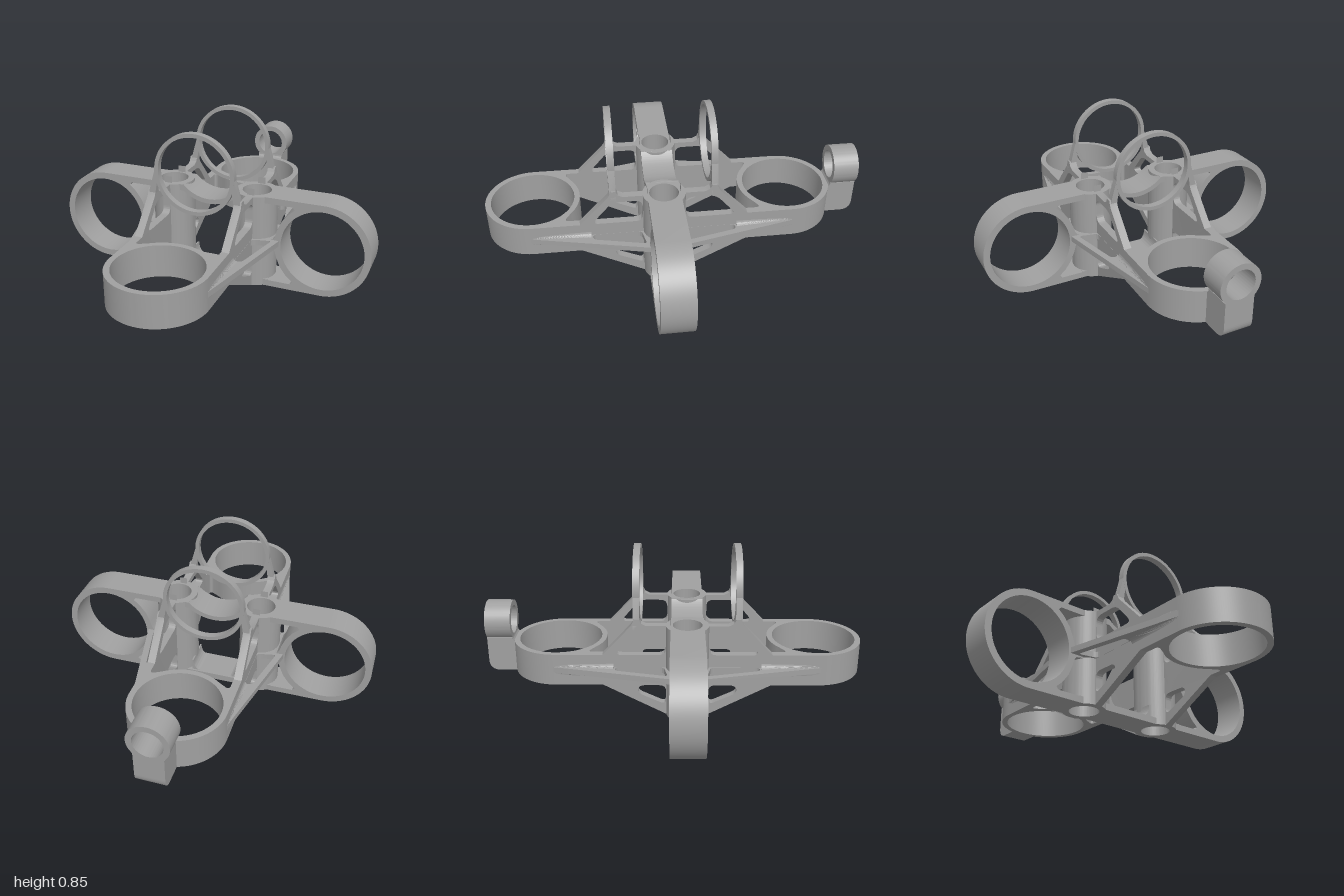
import * as THREE from 'three';
import { toCreasedNormals } from 'three/addons/utils/BufferGeometryUtils.js';

const metal = new THREE.MeshStandardMaterial({ color: 0xa0a0a0 });
metal.name = 'plain grey';

const PI = Math.PI;
const pts = (list) => list.map(([x, y]) => new THREE.Vector2(x, y));

// polygon with every corner rounded off
function rounded(list, r, Type = THREE.Path) {
  const p = pts(list), path = new Type(), n = p.length;
  for (let i = 0; i < n; i++) {
    const a = p[(i + n - 1) % n], b = p[i], c = p[(i + 1) % n];
    const toward = (q) => {
      const d = q.clone().sub(b);
      return d.multiplyScalar(Math.min(r, d.length() * 0.48) / d.length()).add(b);
    };
    const s = toward(a), e = toward(c);
    if (i === 0) path.moveTo(s.x, s.y); else path.lineTo(s.x, s.y);
    path.quadraticCurveTo(b.x, b.y, e.x, e.y);
  }
  path.closePath();
  return path;
}

const circle = (x, y, r, Type = THREE.Path) => new Type().absarc(x, y, r, 0, PI * 2, false);

function ringShape(x, y, outer, inner) {
  const s = circle(x, y, outer, THREE.Shape);
  s.holes.push(circle(x, y, inner));
  return s;
}

const extrude = (shape, depth) =>
  new THREE.ExtrudeGeometry(shape, { depth, bevelEnabled: false, curveSegments: 40 });

// standing: shape in (x, y), centred on z
const standing = (shape, d, z = 0) => extrude(shape, d).translate(0, 0, z - d / 2);
// lying: shape in (x, -z), from y0 upward
const lying = (shape, d, y0) => extrude(shape, d).rotateX(-PI / 2).translate(0, y0, 0);
// sideways: shape in (z, y), centred on x
const sideways = (shape, d, x = 0) => extrude(shape, d).rotateY(-PI / 2).translate(x + d / 2, 0, 0);

export function createModel() {
  const root = new THREE.Group();
  root.name = 'ringBracket';
  const body = new THREE.Group();
  body.name = 'body';
  body.position.z = 0.065;
  root.add(body);

  const add = (name, geometry, turn = 0) => {
    const m = new THREE.Mesh(toCreasedNormals(geometry, 0.5), metal);
    m.name = name;
    m.rotation.y = turn;
    body.add(m);
    return m;
  };

  // Side rings with their top and bottom bars and the thin middle web
  const sideFrame = new THREE.Shape();
  sideFrame.moveTo(0.312, 0);
  sideFrame.lineTo(0.61, 0);
  sideFrame.absarc(0.61, 0.25, 0.25, -PI / 2, PI / 2, false);
  sideFrame.lineTo(0.312, 0.5);
  const gap = [[0.312, 0.467], [0.45, 0.467], [0.462, 0.452], [0.427, 0.421], [0.395, 0.377],
    [0.373, 0.325], [0.363, 0.29], [0.35, 0.272], [0.312, 0.266]];
  gap.forEach(([x, y]) => sideFrame.lineTo(x, y));
  [...gap].reverse().forEach(([x, y]) => sideFrame.lineTo(x, 0.5 - y));
  sideFrame.closePath();
  sideFrame.holes.push(circle(0.61, 0.25, 0.215));
  for (const turn of [0, PI]) add('sideRing', standing(sideFrame, 0.17), turn);

  // Bottom bar, bored for the two tubes
  const barOutline = (x0, x1) => new THREE.Shape(
    pts([[x0, -0.085], [x1, -0.085], [x1, 0.085], [x0, 0.085]]));
  const bottomBar = barOutline(-0.33, 0.33);
  bottomBar.holes.push(circle(-0.235, 0, 0.075), circle(0.235, 0, 0.075));
  add('bottomBar', lying(bottomBar, 0.035, 0));

  // Upright tubes with bored caps under the top bar
  const cap = barOutline(0.142, 0.33);
  cap.holes.push(circle(0.235, 0, 0.075));
  for (const turn of [0, PI]) {
    add('uprightTube', lying(ringShape(0.235, 0, 0.11, 0.075), 0.5, 0), turn);
    add('topCap', lying(cap, 0.033, 0.467), turn);
    // fillets between tube foot and bottom bar
    const foot = new THREE.Shape();
    foot.moveTo(0.135, 0.03);
    foot.lineTo(0.07, 0.03);
    foot.quadraticCurveTo(0.127, 0.035, 0.127, 0.1);
    foot.lineTo(0.135, 0.1);
    foot.closePath();
    add('footFillet', standing(foot, 0.15), turn);
  }

  // Curved saddle dipping between the tubes
  const saddle = new THREE.Shape();
  saddle.moveTo(0.155, 0.5);
  saddle.lineTo(0.143, 0.5);
  saddle.absarc(0, 0.64, 0.2, -0.775, -PI + 0.775, true);
  saddle.lineTo(-0.155, 0.5);
  saddle.lineTo(-0.155, 0.467);
  saddle.absarc(0, 0.64, 0.225, -PI + 0.87, -0.87, false);
  saddle.lineTo(0.155, 0.467);
  saddle.closePath();
  add('saddle', standing(saddle, 0.17));

  // Long lying frame: front and back rings joined by straight side bars
  const lyingFrame = new THREE.Shape();
  lyingFrame.moveTo(0.25, -0.68);
  lyingFrame.lineTo(0.25, 0.68);
  lyingFrame.absarc(0, 0.68, 0.25, 0, PI, false);
  lyingFrame.lineTo(-0.25, -0.68);
  lyingFrame.absarc(0, -0.68, 0.25, PI, PI * 2, false);
  const middle = [];
  for (const s of [1, -1]) {
    middle.push([s * 0.21, s * 0.515]);
    for (const a of [1.0, 0.75, 0.5, 0.25, 0, -0.25, -0.5, -0.75, -1.0].map((k) => k * 0.68))
      middle.push([s * 0.25 * Math.sin(a), s * (0.68 - 0.25 * Math.cos(a))]);
    middle.push([s * -0.21, s * 0.515]);
  }
  lyingFrame.holes.push(circle(0, 0.68, 0.22), circle(0, -0.68, 0.22), rounded(middle, 0.03));
  add('lyingRings', lying(lyingFrame, 0.17, 0.17));

  // Upright truss plates along both side bars
  const truss = new THREE.Shape(pts([
    [-0.11, 0], [0.11, 0], [0.435, 0.17], [0.435, 0.34], [0.285, 0.5], [0.27, 0.535], [0.245, 0.535],
    [0.235, 0.513], [0.21, 0.5], [-0.21, 0.5], [-0.235, 0.513], [-0.245, 0.535], [-0.27, 0.535],
    [-0.285, 0.5], [-0.435, 0.34], [-0.435, 0.17]]));
  for (const s of [1, -1]) {
    truss.holes.push(
      rounded([[s * 0.11, 0.34], [s * 0.375, 0.34], [s * 0.265, 0.47], [s * 0.11, 0.47]], 0.04),
      rounded([[s * 0.11, 0.055], [s * 0.26, 0.125], [s * 0.25, 0.168], [s * 0.11, 0.168]], 0.035));
  }
  // keep the tube bores clear by splitting each plate around its tube
  const cut = (s) => {
    const g = s > 0 ? 1 : -1;
    const half = new THREE.Shape(truss.getPoints()
      .map((p) => new THREE.Vector2(g * Math.max(g * p.x, 0.085), p.y))
      .filter((p, i, all) => i === 0 || !p.equals(all[i - 1])));
    half.holes = truss.holes.filter((h) => h.getPoints()[0].x * g > 0);
    return half;
  };
  for (const x of [0.23, -0.23])
    for (const s of [1, -1]) add('trussPlate', sideways(cut(s), 0.04, x));

  // Thin diagonal webs from the lying rings out to the side rings
  const web = new THREE.Shape(pts([[0.24, -0.69], [0.25, -0.69], [0.39, -0.065], [0.39, 0.065],
    [0.25, 0.69], [0.24, 0.69], [0.24, 0.1], [0.33, 0.06], [0.33, -0.06], [0.24, -0.1]]));
  for (const s of [1, -1])
    web.holes.push(rounded([[0.251, s * 0.37], [0.288, s * 0.37], [0.35, s * 0.1], [0.251, s * 0.12]], 0.02));
  // concave fillet section, widening away from the ring
  const fillet = new THREE.Shape();
  fillet.moveTo(0, -0.04);
  fillet.quadraticCurveTo(0.005, -0.014, 0.035, -0.012);
  fillet.lineTo(0.035, 0.012);
  fillet.quadraticCurveTo(0.005, 0.014, 0, 0.04);
  fillet.closePath();
  for (const turn of [0, PI]) {
    add('diagonalWeb', lying(web, 0.03, 0.24), turn);
    for (const s of [1, -1]) {
      const g = standing(fillet, 0.3, s * 0.53), p = g.attributes.position;
      for (let i = 0; i < p.count; i++) {
        const t = (0.68 - Math.abs(p.getZ(i))) / 0.3;
        p.setX(i, 0.249 + p.getX(i) * (0.08 + 0.92 * t));
        p.setY(i, p.getY(i) + 0.255);
      }
      g.deleteAttribute('normal');
      g.computeVertexNormals();
      add('webFillet', g, turn);
    }
  }

  // Two upright upper rings with tangent legs
  const leg = [[0.207, 0.655], [0.197, 0.6], [0.212, 0.5], [0.212, 0.47], [0.25, 0.47], [0.25, 0.5]];
  for (const z of [0.26, -0.26]) {
    add('upperRing', standing(ringShape(0, 0.64, 0.212, 0.192), 0.035, z));
    for (const s of [1, -1])
      add('upperRingLeg', standing(new THREE.Shape(pts(leg.map(([x, y]) => [s * x, y]))), 0.034, z));
  }

  // Small rear ring on its post
  add('rearRing', standing(ringShape(0, 0.437, 0.105, 0.075), 0.135, -0.9975));
  const post = new THREE.Shape();
  post.moveTo(-0.91, 0.17);
  post.lineTo(-0.91, 0.33);
  post.quadraticCurveTo(-0.93, 0.34, -0.93, 0.36);
  post.lineTo(-1.065, 0.36);
  post.lineTo(-1.065, 0.23);
  post.quadraticCurveTo(-1.065, 0.17, -1.005, 0.17);
  post.closePath();
  add('rearPost', sideways(post, 0.15));

  return root;
}
